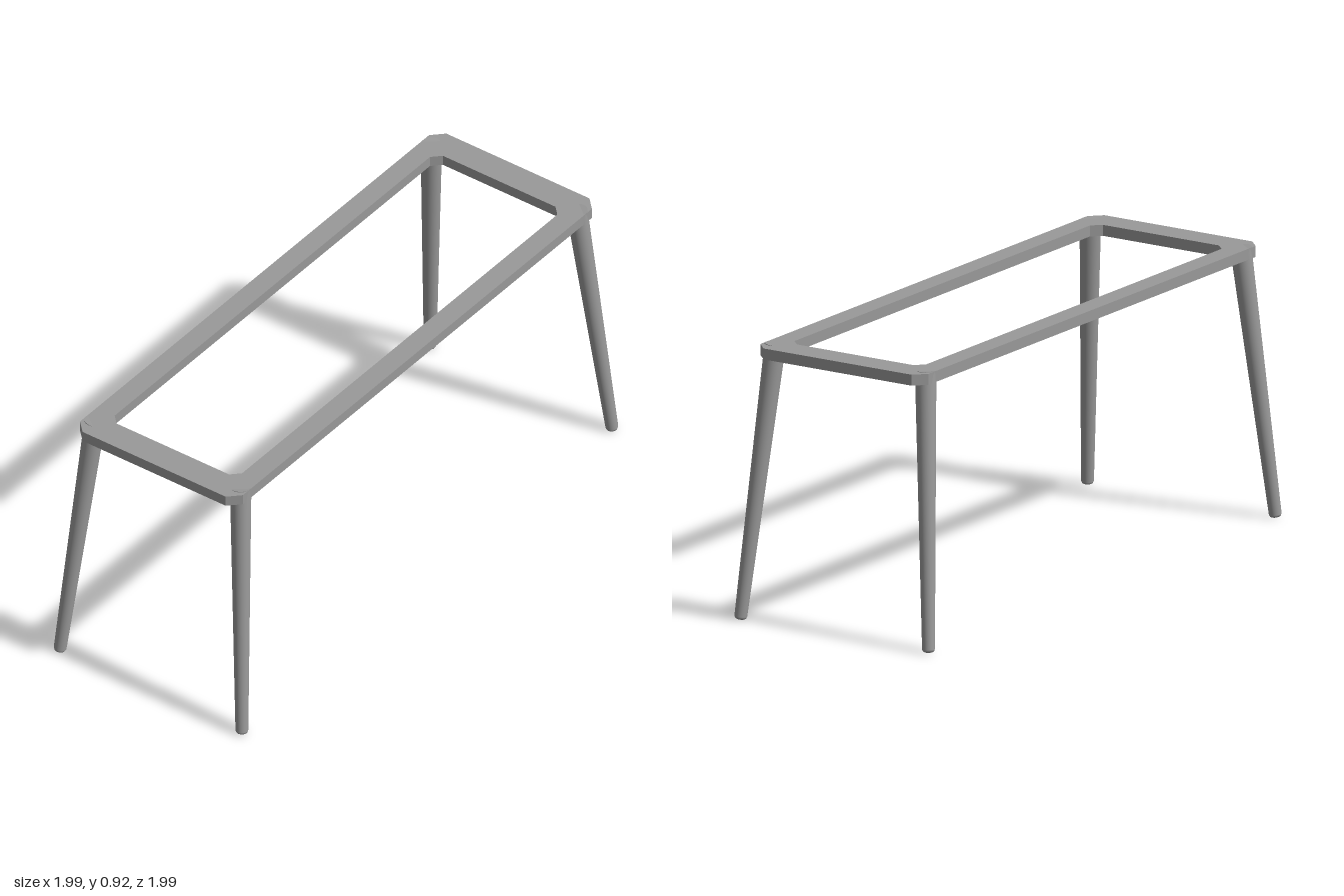
import * as THREE from 'three';

const steel = new THREE.MeshStandardMaterial({ color: 0x999999 });
steel.name = 'grey steel';

// Rectangle with its four corners cut at 45 degrees
function chamferedLoop(path, a, b, c) {
  const pts = [
    [a - c, -b], [a, -b + c], [a, b - c], [a - c, b],
    [-a + c, b], [-a, b - c], [-a, -b + c], [-a + c, -b],
  ];
  path.setFromPoints(pts.map(([x, y]) => new THREE.Vector2(x, y)));
  path.closePath();
  return path;
}

// Flat rail frame with cut corners outside and small gussets inside
function makeFrame() {
  const shape = chamferedLoop(new THREE.Shape(), 0.992, 0.33, 0.04);
  shape.holes.push(chamferedLoop(new THREE.Path(), 0.89, 0.258, 0.03));
  const geo = new THREE.ExtrudeGeometry(shape, { depth: 0.037, bevelEnabled: false });
  geo.rotateX(-Math.PI / 2).translate(0, 0.884, 0);
  const frame = new THREE.Mesh(geo, steel);
  frame.name = 'railFrame';
  return frame;
}

// Tapered round leg with a softened foot, splayed from top to foot
function makeLeg(sx, sz) {
  const foot = new THREE.Vector3(sx * 1.01, 0.001, sz * 0.369);
  const top = new THREE.Vector3(sx * 0.917, 0.919, sz * 0.295);
  const axis = top.clone().sub(foot);
  const length = axis.length();
  const group = new THREE.Group();
  const profile = [
    [0, 0], [0.012, 0], [0.018, 0.003], [0.021, 0.01], [0.035, length],
  ].map(([r, y]) => new THREE.Vector2(r, y));
  const shaft = new THREE.Mesh(new THREE.LatheGeometry(profile, 32), steel);
  shaft.name = 'legShaft';
  const cap = new THREE.Mesh(new THREE.CircleGeometry(0.035, 32).rotateX(-Math.PI / 2), steel);
  cap.position.y = length;
  cap.name = 'legCap';
  group.add(shaft, cap);
  group.position.copy(foot);
  group.quaternion.setFromUnitVectors(new THREE.Vector3(0, 1, 0), axis.normalize());
  group.name = 'leg';
  return group;
}

export function createModel() {
  const model = new THREE.Group();
  model.name = 'tableBase';
  // The whole base stands diagonally
  const base = new THREE.Group();
  base.name = 'diagonalBase';
  base.rotation.y = Math.PI / 4;
  base.add(makeFrame());
  for (const sx of [-1, 1]) for (const sz of [-1, 1]) base.add(makeLeg(sx, sz));
  model.add(base);
  return model;
}
